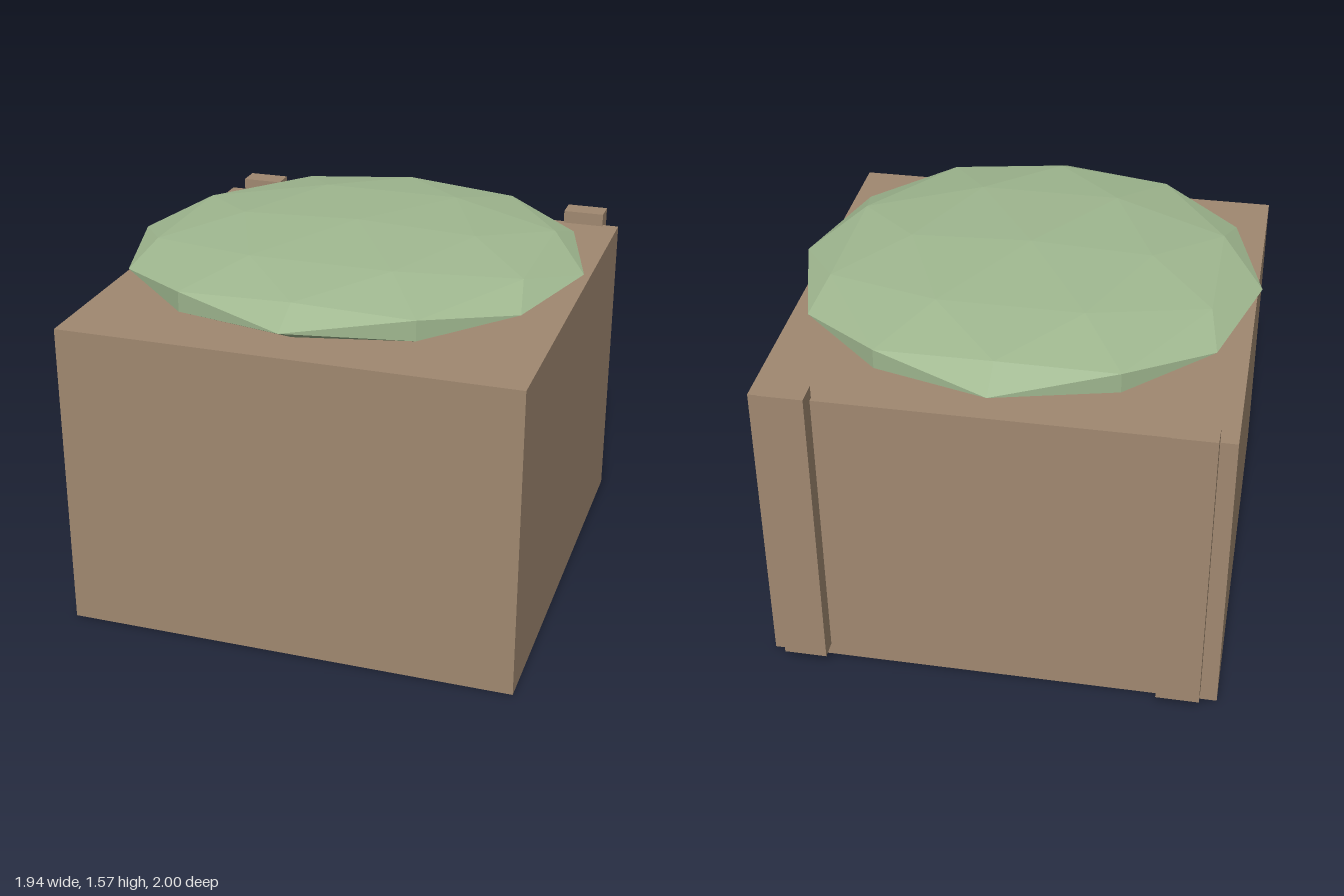
import * as THREE from 'three';

export function createModel() {
  const model = new THREE.Group();
  model.name = 'cushionedBox';

  const wood = new THREE.MeshStandardMaterial({ color: 0xa08870, flatShading: true });
  wood.name = 'brown wood';
  const fabric = new THREE.MeshStandardMaterial({ color: 0xa0b890, flatShading: true });
  fabric.name = 'sage green fabric';

  const add = (name, geometry, material, x, y, z) => {
    const mesh = new THREE.Mesh(geometry, material);
    mesh.name = name;
    mesh.position.set(x, y, z);
    model.add(mesh);
    return mesh;
  };

  // Solid base block
  add('base', new THREE.BoxGeometry(1.9, 1.32, 1.9), wood, 0, 0.66, 0.03);

  // Flattened faceted cushion, its underside sunk slightly into the base
  const cushion = new THREE.IcosahedronGeometry(0.97, 1).scale(1, 0.14, 1);
  add('cushion', cushion, fabric, 0, 1.43, 0.03);

  // Two upright posts on the back, mirrored across the middle
  for (const [side, name] of [[1, 'leftPost'], [-1, 'rightPost']]) {
    add(name, new THREE.BoxGeometry(0.18, 1.32, 0.1), wood, side * 0.79, 0.716, -0.95);
  }

  return model;
}
